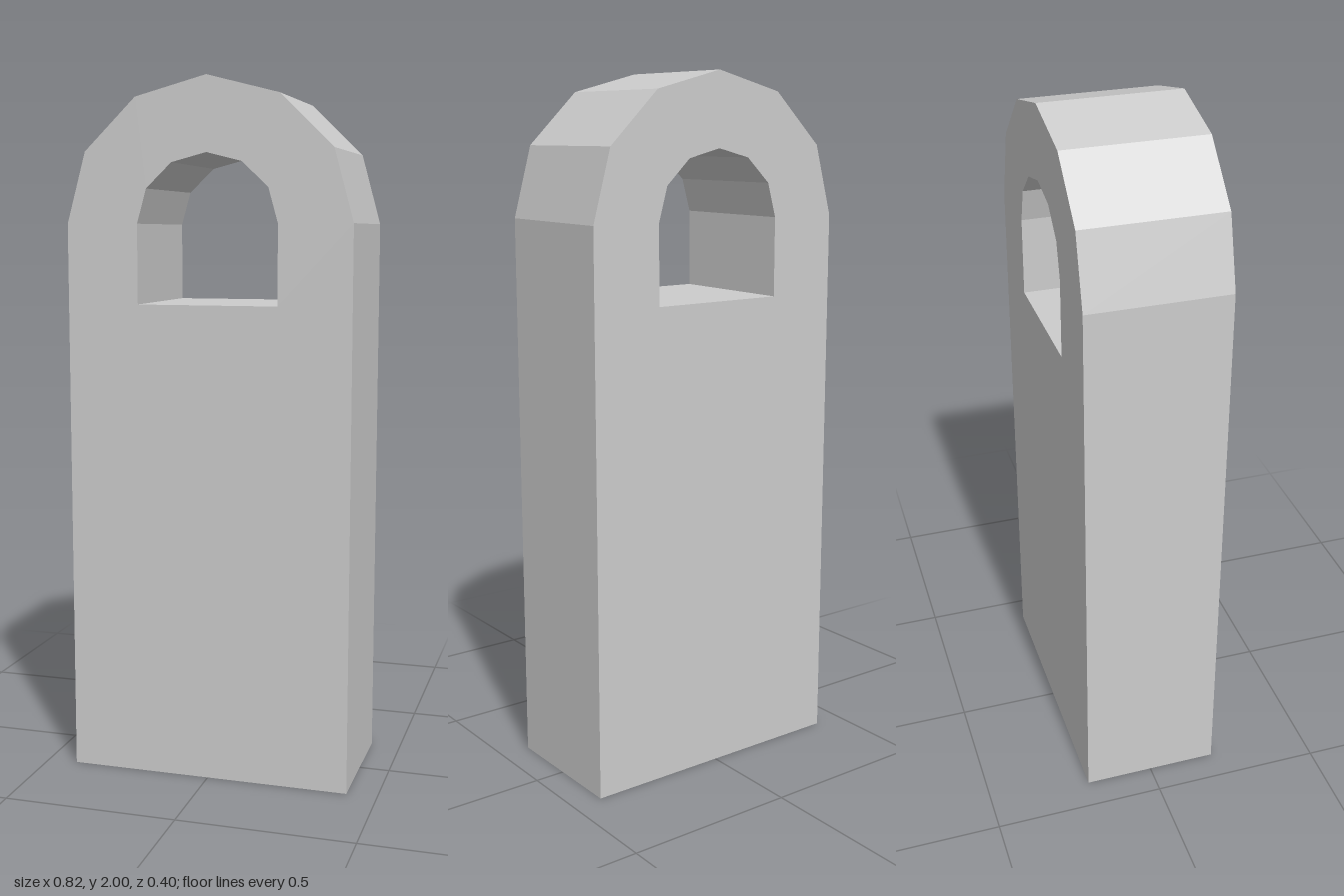
import * as THREE from 'three';

const HALF_DEPTH = 0.2;
const SPRING = 1.6; // height where the arches begin

// Six-sided arch from right to left, standing on two legs that end at footY
function archOutline(rx, ry, footY) {
  const points = [new THREE.Vector2(rx, footY)];
  for (let i = 0; i <= 6; i++) {
    const a = (i * Math.PI) / 6;
    points.push(new THREE.Vector2(rx * Math.cos(a), SPRING + ry * Math.sin(a)));
  }
  points.push(new THREE.Vector2(-rx, footY));
  return points;
}

// Strip of flat quads across the depth, following the outline
function wallStrip(points) {
  const positions = [];
  for (let i = 0; i < points.length - 1; i++) {
    const a = points[i], b = points[i + 1], d = HALF_DEPTH;
    positions.push(a.x, a.y, d, a.x, a.y, -d, b.x, b.y, -d);
    positions.push(a.x, a.y, d, b.x, b.y, -d, b.x, b.y, d);
  }
  const geometry = new THREE.BufferGeometry();
  geometry.setAttribute('position', new THREE.Float32BufferAttribute(positions, 3));
  geometry.computeVertexNormals();
  return geometry;
}

export function createModel() {
  const group = new THREE.Group();
  group.name = 'archedSlab';
  const material = new THREE.MeshStandardMaterial({
    color: 0xcccccc, flatShading: true, side: THREE.DoubleSide,
  });
  const add = (name, geometry) => {
    const mesh = new THREE.Mesh(geometry, material);
    mesh.name = name;
    group.add(mesh);
    return mesh;
  };

  const outer = archOutline(0.412, 0.4, 0);
  const inner = archOutline(0.203, 0.193, 1.375);

  // Front and back faces with the arched window
  const face = new THREE.Shape(outer);
  face.holes.push(new THREE.Path(inner));
  const faceGeometry = new THREE.ShapeGeometry(face);
  add('frontFace', faceGeometry).position.z = HALF_DEPTH;
  const back = add('backFace', faceGeometry);
  back.position.z = -HALF_DEPTH;
  back.rotation.y = Math.PI;

  // Sides and roof; the shell is open underneath
  add('outerWall', wallStrip(outer));

  // Window tunnel, closed by its sill and facing inward
  add('windowTunnel', wallStrip([...inner, inner[0]].reverse()));

  return group;
}
